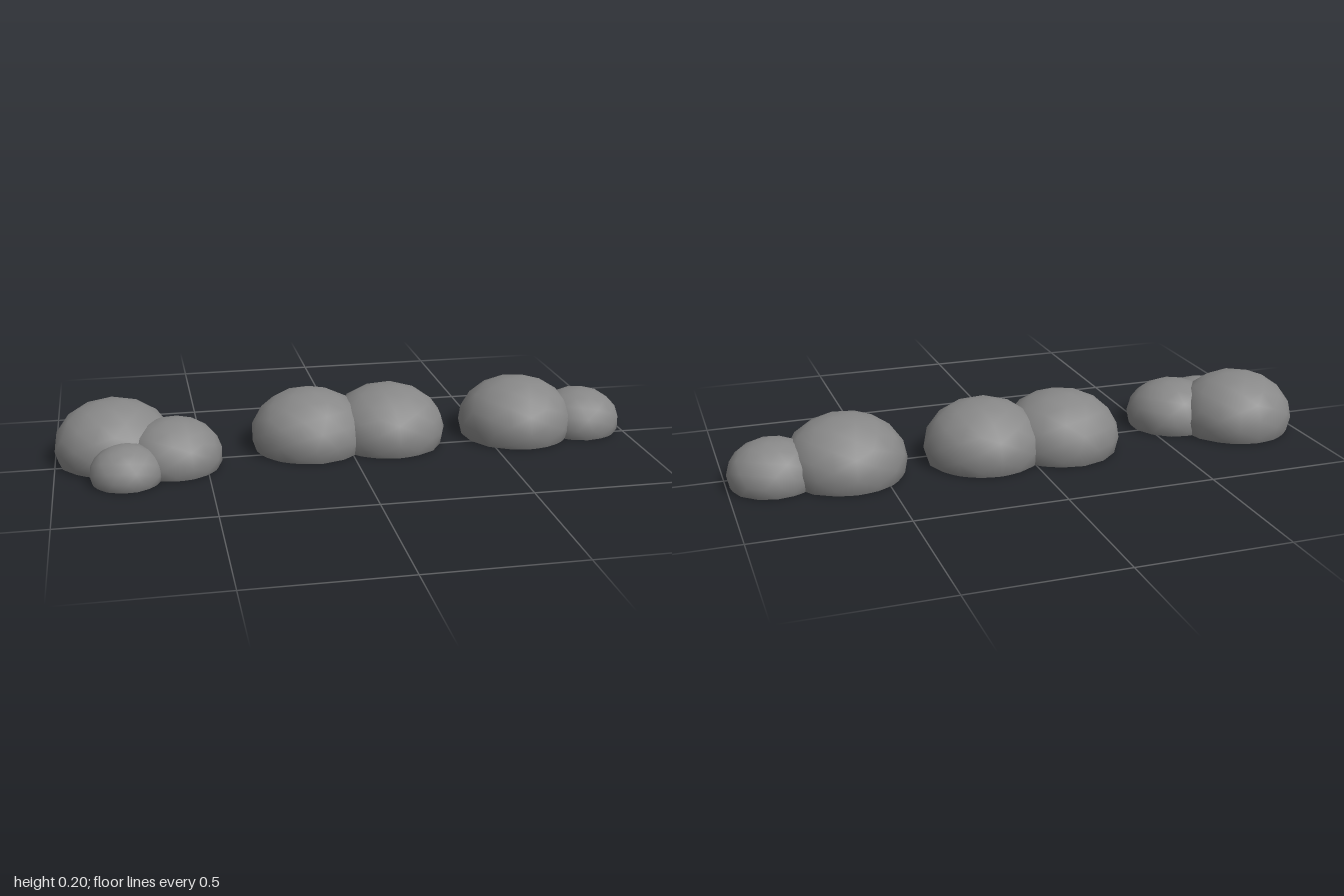
import * as THREE from 'three';

const SQUASH = 0.775; // vertical radius relative to horizontal
const RAISE = 0.25;   // centre height relative to horizontal radius

// Squashed low-poly ball with smooth normals, sliced flat at y = 0 and capped
function boulderGeometry(radius, turn) {
  const ball = new THREE.IcosahedronGeometry(radius * 1.01, 2).rotateY(turn);
  ball.scale(1, SQUASH, 1).translate(0, RAISE * radius, 0);
  const src = ball.attributes.position;
  const pos = [], nor = [];

  const addDome = (v) => {
    pos.push(v.x, v.y, v.z);
    const n = new THREE.Vector3(v.x, (v.y - RAISE * radius) / SQUASH ** 2, v.z).normalize();
    nor.push(n.x, n.y, n.z);
  };
  const addBase = (x, z) => {
    pos.push(x, 0, z);
    nor.push(0, -1, 0);
  };

  for (let i = 0; i < src.count; i += 3) {
    const tri = [0, 1, 2].map((k) => new THREE.Vector3().fromBufferAttribute(src, i + k));
    const poly = [], cut = [];
    tri.forEach((a, k) => {
      const b = tri[(k + 1) % 3];
      if (a.y >= 0) poly.push(a);
      if ((a.y >= 0) !== (b.y >= 0)) {
        const p = a.clone().lerp(b, a.y / (a.y - b.y));
        p.y = 0;
        poly.push(p);
        cut.push(p);
      }
    });
    for (let k = 1; k + 1 < poly.length; k++) [poly[0], poly[k], poly[k + 1]].forEach(addDome);
    // underside wedge from the centre to this cut edge, facing down
    if (cut.length === 2) {
      const [p, q] = cut;
      const [a, b] = p.z * q.x - p.x * q.z < 0 ? [p, q] : [q, p];
      addBase(0, 0);
      addBase(a.x, a.z);
      addBase(b.x, b.z);
    }
  }
  const geometry = new THREE.BufferGeometry();
  geometry.setAttribute('position', new THREE.Float32BufferAttribute(pos, 3));
  geometry.setAttribute('normal', new THREE.Float32BufferAttribute(nor, 3));
  return geometry;
}

export function createModel() {
  const stone = new THREE.MeshStandardMaterial({ color: 0x888888 });
  stone.name = 'grey stone';

  // each boulder: x, z, radius
  const clusters = {
    rightCluster: [[-0.8, -0.067, 0.2], [-0.605, 0.04, 0.16], [-0.767, 0.15, 0.118]],
    middleCluster: [[-0.133, -0.067, 0.2], [0.144, -0.067, 0.2]],
    leftCluster: [[0.613, -0.067, 0.2], [0.85, -0.067, 0.146]],
  };

  const model = new THREE.Group();
  model.name = 'boulders';
  let count = 0;
  for (const [name, boulders] of Object.entries(clusters)) {
    const cluster = new THREE.Group();
    cluster.name = name;
    boulders.forEach(([x, z, radius], i) => {
      const mesh = new THREE.Mesh(boulderGeometry(radius, count++ * 0.7), stone);
      mesh.name = `boulder${i + 1}`;
      mesh.position.set(x, 0, z);
      cluster.add(mesh);
    });
    model.add(cluster);
  }
  return model;
}
